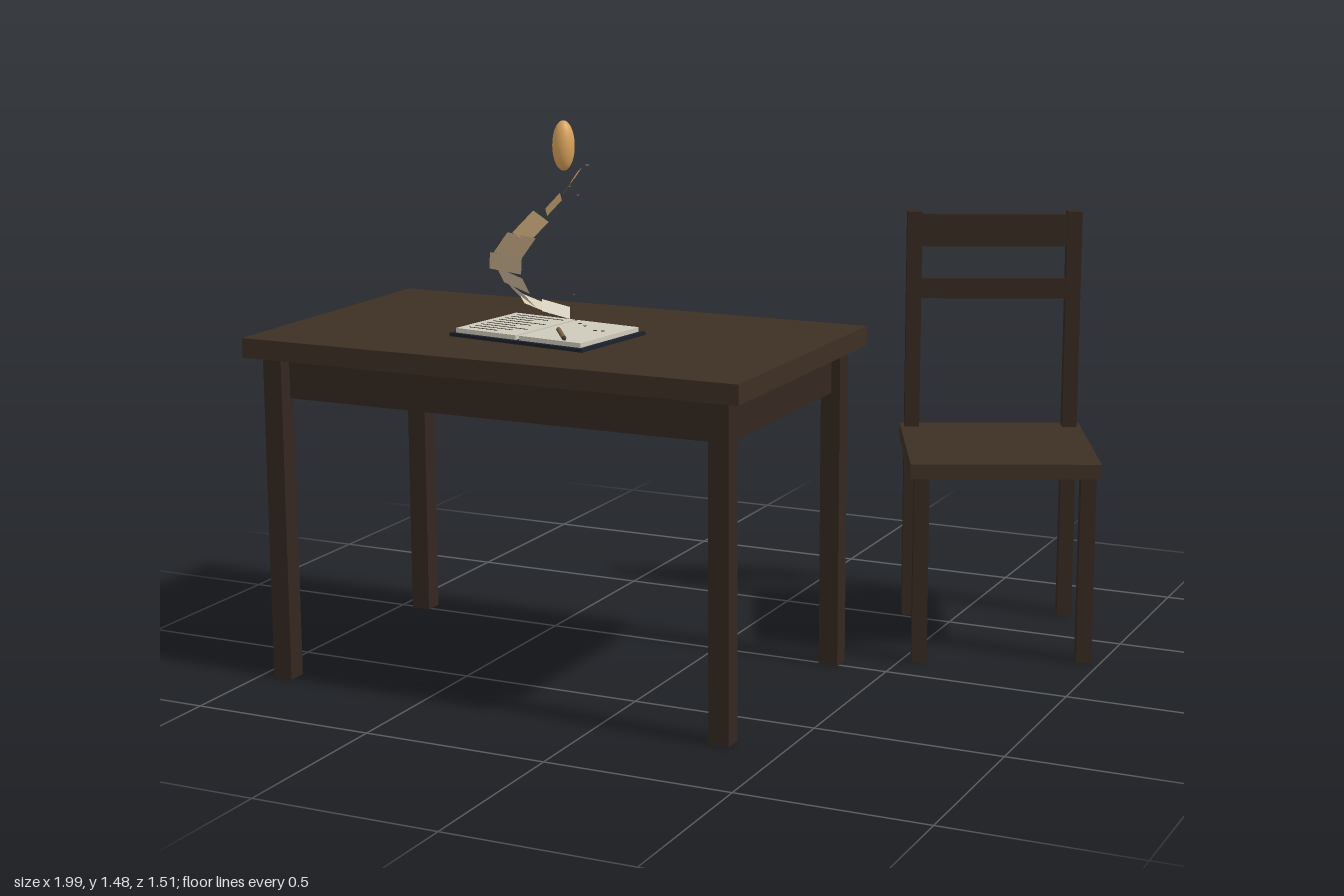
import * as THREE from 'three';

const mat = (color, side = THREE.FrontSide) => new THREE.MeshStandardMaterial({ color, side });
const wood = mat(0x3d2f24), darkWood = mat(0x33271f);
const cover = mat(0x1c222c), paper = mat(0xcfcabb), ink = mat(0x3c3a36), brass = mat(0x7a6443);

function add(parent, name, geometry, material, x, y, z) {
  const mesh = new THREE.Mesh(geometry, material);
  mesh.name = name;
  mesh.position.set(x, y, z);
  parent.add(mesh);
  return mesh;
}
const box = (parent, name, material, w, h, d, x, y, z) =>
  add(parent, name, new THREE.BoxGeometry(w, h, d), material, x, y, z);

function group(parent, name, x, y, z, turn = 0) {
  const g = new THREE.Group();
  g.name = name;
  g.position.set(x, y, z);
  g.rotation.y = turn;
  parent.add(g);
  return g;
}

function buildTable(root) {
  const table = group(root, 'table', -0.298, 0, 0.34);
  box(table, 'tableTop', wood, 1.404, 0.052, 0.83, 0, 0.894, 0);
  for (const s of [-1, 1]) {
    for (const t of [-1, 1]) box(table, 'tableLeg', darkWood, 0.054, 0.87, 0.054, s * 0.635, 0.435, t * 0.355);
    box(table, 'sideApron', darkWood, 0.022, 0.113, 0.615, s * 0.635, 0.812, 0);
    box(table, 'longApron', darkWood, 1.225, 0.113, 0.022, 0, 0.812, s * 0.332);
  }
}

function buildChair(root) {
  const chair = group(root, 'chair', 0.657, 0, -0.422, 0.42);
  box(chair, 'seat', wood, 0.508, 0.04, 0.508, 0, 0.534, 0);
  for (const s of [-1, 1]) {
    box(chair, 'frontChairLeg', darkWood, 0.041, 0.52, 0.041, s * 0.222, 0.26, 0.222);
    box(chair, 'backPost', darkWood, 0.041, 1.165, 0.041, s * 0.222, 0.5825, -0.222);
  }
  box(chair, 'topSlat', darkWood, 0.41, 0.09, 0.022, 0, 1.112, -0.222);
  box(chair, 'lowerSlat', darkWood, 0.41, 0.056, 0.022, 0, 0.948, -0.222);
}

function buildBook(root) {
  const book = group(root, 'openBook', -0.3, 0.92, 0.395, -0.135);
  box(book, 'bookCover', cover, 0.42, 0.009, 0.285, 0, 0.0045, 0);
  for (const s of [-1, 1]) box(book, 'pageBlock', paper, 0.192, 0.012, 0.262, s * 0.101, 0.015, 0);
  // ruled strokes fill the left page, the right one is nearly blank
  for (let i = 0; i < 9; i++) {
    const w = 0.15 - 0.03 * (i % 3);
    box(book, 'ruledStroke', ink, w, 0.001, 0.003, -0.175 + w / 2, 0.0215, -0.105 + i * 0.026);
  }
  for (const [x, z] of [[0.04, -0.09], [0.07, -0.07], [0.13, -0.03], [0.15, -0.035]])
    add(book, 'inkSpot', new THREE.CylinderGeometry(0.005, 0.005, 0.001, 8), ink, x, 0.0215, z);
  // pen lying diagonally on the right page
  const pen = group(book, 'pen', 0.105, 0.027, 0.083, -0.83);
  const barrel = add(pen, 'penBarrel', new THREE.CylinderGeometry(0.006, 0.006, 0.12, 10), brass, -0.01, 0, 0);
  const nib = add(pen, 'penNib', new THREE.ConeGeometry(0.006, 0.035, 10), ink, 0.0675, 0, 0);
  barrel.rotation.z = nib.rotation.z = -Math.PI / 2;
}

// Loose sheets rising from the book in a spiral
function buildSpiral(root) {
  const spiral = group(root, 'risingSheets', 0, 0, 0);
  const path = [
    [-0.37, 0.955, 0.215], [-0.42, 0.973, 0.245], [-0.437, 1.0, 0.285], [-0.432, 1.046, 0.335],
    [-0.415, 1.103, 0.405], [-0.368, 1.158, 0.44], [-0.325, 1.207, 0.432], [-0.28, 1.263, 0.39],
    [-0.258, 1.305, 0.35], [-0.25, 1.332, 0.322],
  ].map(p => new THREE.Vector3(...p));
  const axis = new THREE.Vector3(-0.335, 0, 0.33), up = new THREE.Vector3(0, 1, 0);
  path.forEach((p, i) => {
    const k = i / (path.length - 1);
    const along = path[Math.min(i + 1, path.length - 1)].clone().sub(path[Math.max(i - 1, 0)]).normalize();
    const out = p.clone().sub(axis).setY(0).normalize();
    const tilt = 0.15 + 0.75 * k;
    // outer edge raised, then squared to the path
    const across = out.multiplyScalar(Math.cos(tilt)).addScaledVector(up, Math.sin(tilt));
    across.addScaledVector(along, -across.dot(along)).normalize();
    const normal = along.clone().cross(across);
    const color = new THREE.Color(0xd2cdbd).lerp(new THREE.Color(0xe8b468), k);
    const size = i < 7 ? 1 : 0.72 - 0.1 * (i - 7);
    const sheet = add(spiral, 'sheet', new THREE.PlaneGeometry(0.078 * size, 0.084 * size),
      mat(color, THREE.DoubleSide), p.x, p.y, p.z);
    sheet.quaternion.setFromRotationMatrix(new THREE.Matrix4().makeBasis(along, across, normal));
  });

  // smooth egg-shaped form at the top of the spiral
  add(spiral, 'floatingOval', new THREE.SphereGeometry(1, 32, 24), mat(0xd9a25a), -0.273, 1.41, 0.345)
    .scale.set(0.029, 0.065, 0.029);

  // drifting scraps
  [[-0.355, 1.415, 0.2, 0.017], [-0.222, 1.358, 0.31, 0.008], [-0.24, 1.31, 0.378, 0.006],
    [-0.205, 1.04, 0.425, 0.005], [-0.23, 1.285, 0.35, 0.006]].forEach(([x, y, z, r], i) => {
    const scrap = add(spiral, 'scrap', new THREE.TetrahedronGeometry(r), brass, x, y, z);
    scrap.scale.y = 0.5;
    scrap.rotation.y = i;
  });
}

export function createModel() {
  const root = new THREE.Group();
  root.name = 'deskScene';
  buildTable(root);
  buildChair(root);
  buildBook(root);
  buildSpiral(root);
  return root;
}
